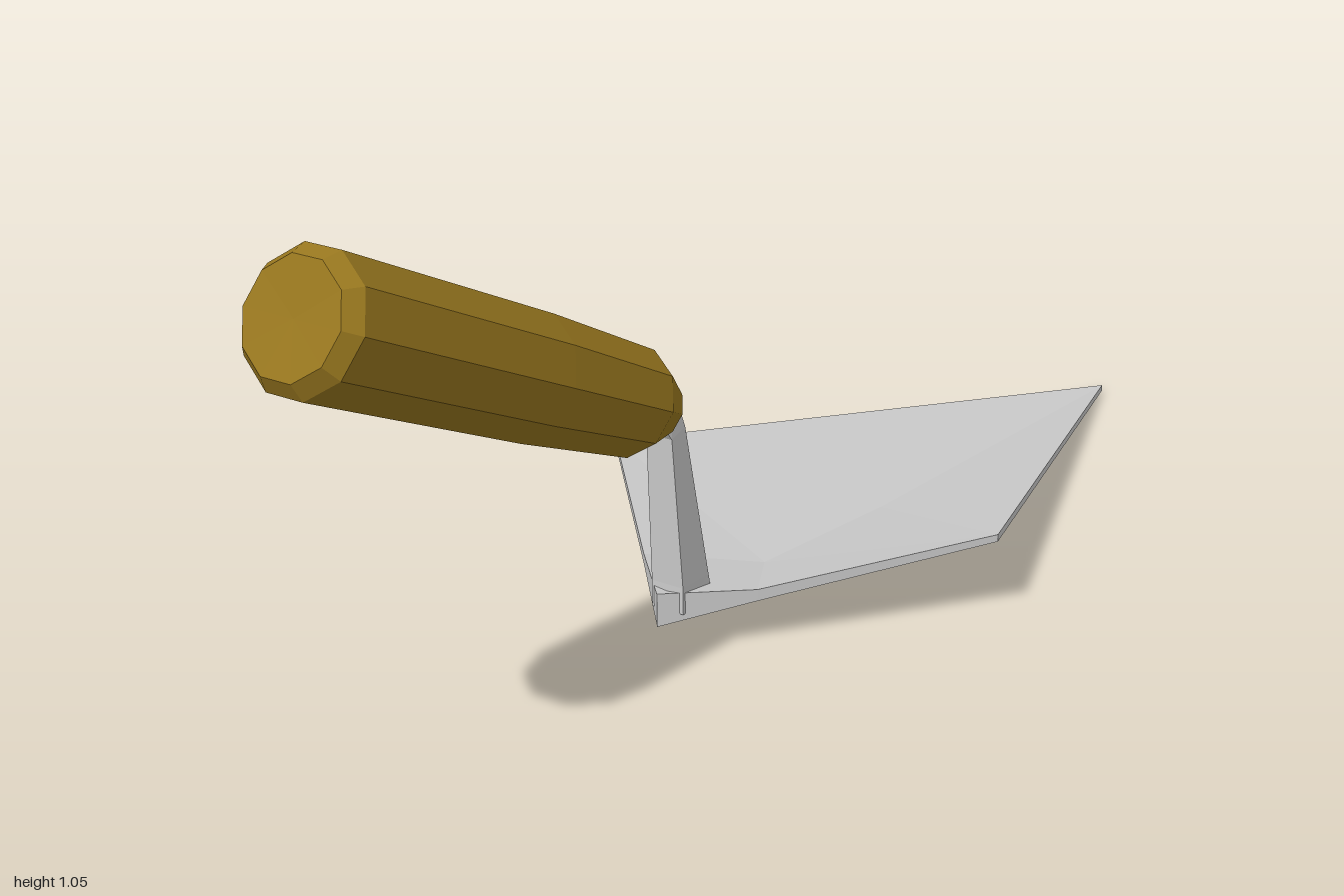
import * as THREE from 'three';

// Flat-shaded mesh from [x, y, z] points and corner triples
function facetMesh(name, points, faces, material) {
  const indexed = new THREE.BufferGeometry();
  indexed.setAttribute('position', new THREE.Float32BufferAttribute(points.flat(), 3));
  indexed.setIndex(faces.flat());
  const geometry = indexed.toNonIndexed();
  geometry.computeVertexNormals();
  const mesh = new THREE.Mesh(geometry, material);
  mesh.name = name;
  return mesh;
}

// Wall of quads between two rings that run counter-clockwise seen from above
function wall(lower, upper, count) {
  const faces = [];
  for (let i = 0; i < count; i++) {
    const j = (i + 1) % count;
    faces.push([lower + i, lower + j, upper + j], [lower + i, upper + j, upper + i]);
  }
  return faces;
}

// Dished kite blade with a thick wedge at the heel
function createBlade(material) {
  // x, z, top y, bottom y: tip, wing, heel shoulder, heel, shoulder, wing, then two keel points
  const plan = [
    [1.414, 0, 0.014, 0], [0.14, -0.488, 0.175, 0.16], [-0.2, -0.155, 0.118, 0.096],
    [-0.362, 0, 0.132, 0.063], [-0.21, 0.128, 0.118, 0.094], [0.17, 0.438, 0.175, 0.16],
    [0.01, -0.01, 0.06, 0.045], [0.43, 0, 0.038, 0.022],
  ];
  const top = plan.map(([x, z, y]) => [x, y, z]);
  const bottom = plan.map(([x, z, , y]) => [x, y, z]);
  const upper = [
    [6, 2, 3], [6, 3, 4], [6, 1, 2], [6, 7, 1],
    [7, 0, 1], [6, 4, 5], [6, 5, 7], [7, 5, 0],
  ];
  const lower = upper.map(([a, b, c]) => [a + 8, c + 8, b + 8]);
  return facetMesh('blade', [...top, ...bottom], [...upper, ...lower, ...wall(8, 0, 6)], material);
}

// Cranked shank: four-sided sections rising from the heel into the handle
function createShank(material) {
  // rear x, rear y, front x, front y, rear half width, front half width
  const sections = [
    [-0.328, 0.085, -0.215, 0.085, 0.037, 0.022],
    [-0.328, 0.14, -0.225, 0.13, 0.037, 0.022],
    [-0.348, 0.45, -0.298, 0.46, 0.03, 0.024],
    [-0.385, 0.505, -0.335, 0.555, 0.025, 0.022],
    [-0.45, 0.54, -0.42, 0.59, 0.02, 0.02],
  ];
  const points = sections.flatMap(([rx, ry, fx, fy, rw, fw]) => [
    [fx, fy, -fw], [rx, ry, -rw], [rx, ry, rw], [fx, fy, fw],
  ]);
  const faces = sections.slice(1).flatMap((_, i) => wall(i * 4, i * 4 + 4, 4));
  return facetMesh('shank', points, faces, material);
}

// Ten-sided tapered grip with bevelled ends
function createHandle(material) {
  const profile = [
    [0, -0.01], [0.06, 0], [0.107, 0.1], [0.122, 0.427],
    [0.129, 1.0], [0.105, 1.03], [0, 1.025],
  ].map(([r, y]) => new THREE.Vector2(r, y));
  const handle = new THREE.Mesh(new THREE.LatheGeometry(profile, 10), material);
  handle.name = 'handle';
  handle.position.set(-0.354, 0.51, 0);
  handle.rotation.z = THREE.MathUtils.degToRad(64.7);
  return handle;
}

export function createModel() {
  const steel = new THREE.MeshStandardMaterial({ color: 0xcccccc, flatShading: true });
  const wood = new THREE.MeshStandardMaterial({ color: 0x98771f, flatShading: true });

  const trowel = new THREE.Group();
  trowel.name = 'trowel';
  trowel.add(createBlade(steel), createShank(steel), createHandle(wood));
  // The tool lies along the diagonal, tip to the back left
  trowel.rotation.y = Math.PI / 4;

  const model = new THREE.Group();
  model.name = 'model';
  model.add(trowel);
  return model;
}
